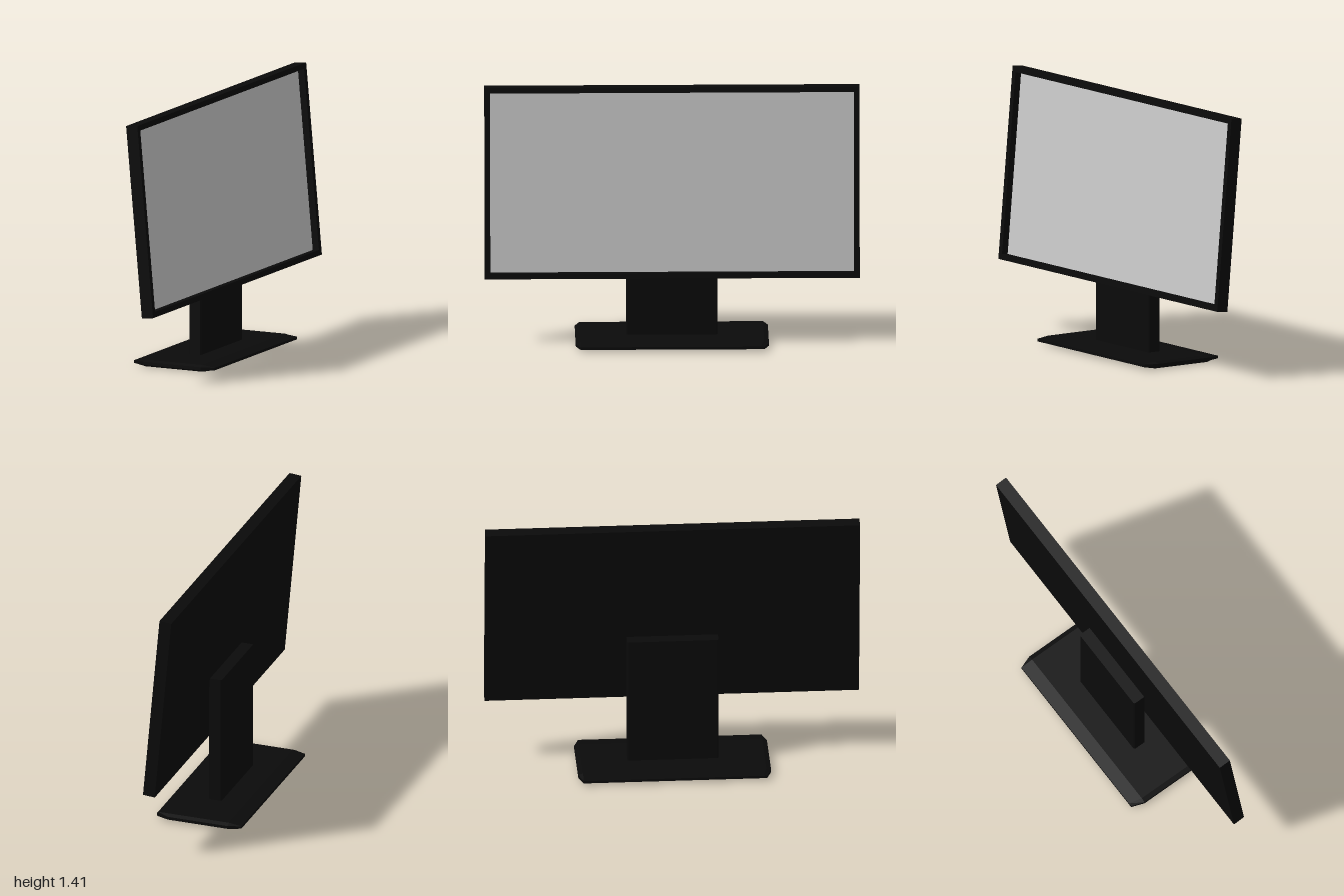
import * as THREE from 'three';

const black = new THREE.MeshStandardMaterial({ color: 0x0a0a0a, flatShading: true });
const grey = new THREE.MeshStandardMaterial({ color: 0xcccccc });

function add(parent, name, geometry, material) {
  const mesh = new THREE.Mesh(geometry, material);
  mesh.name = name;
  parent.add(mesh);
  return mesh;
}

function rectangle(target, w, h) {
  target.moveTo(-w / 2, -h / 2);
  target.lineTo(w / 2, -h / 2);
  target.lineTo(w / 2, h / 2);
  target.lineTo(-w / 2, h / 2);
  target.closePath();
  return target;
}

// Foot: eight-sided sections lofted along x, thinner and narrower at both ends
function footGeometry() {
  const middle = { flat: 0.49, wide: 0.515, y: [0, 0.012, 0.028, 0.037] };
  const end = { flat: 0.47, wide: 0.49, y: [0.013, 0.013, 0.027, 0.027] };
  const stations = [[-0.24, end], [-0.17, middle], [0.17, middle], [0.24, end]];
  const positions = [], index = [], n = 8;
  for (const [x, { flat, wide, y }] of stations) {
    const half = [[flat, y[0]], [wide, y[1]], [wide, y[2]], [flat, y[3]]];
    for (const [z, h] of half) positions.push(x, h, z);
    for (const [z, h] of half.reverse()) positions.push(x, h, -z);
  }
  for (let s = 0; s < stations.length - 1; s++) {
    for (let i = 0; i < n; i++) {
      const a = s * n + i, b = s * n + (i + 1) % n;
      index.push(a, a + n, b, b, a + n, b + n);
    }
  }
  const last = (stations.length - 1) * n;
  for (let i = 1; i < n - 1; i++) {
    index.push(0, i, i + 1);
    index.push(last, last + i + 1, last + i);
  }
  const geometry = new THREE.BufferGeometry();
  geometry.setAttribute('position', new THREE.Float32BufferAttribute(positions, 3));
  geometry.setIndex(index);
  const flatGeometry = geometry.toNonIndexed();
  flatGeometry.computeVertexNormals();
  return flatGeometry;
}

// Upright: slab with slightly chamfered vertical edges
function uprightGeometry() {
  const w = 0.037, d = 0.244, c = 0.006;
  const outline = new THREE.Shape([
    [w, -d + c], [w, d - c], [w - c, d], [-w + c, d],
    [-w, d - c], [-w, -d + c], [-w + c, -d], [w - c, -d],
  ].map(([x, y]) => new THREE.Vector2(x, y)));
  const geometry = new THREE.ExtrudeGeometry(outline, { depth: 0.715, bevelEnabled: false });
  return geometry.rotateX(-Math.PI / 2).translate(0, 0.03, 0);
}

export function createModel() {
  const model = new THREE.Group();
  model.name = 'monitor';

  add(model, 'foot', footGeometry(), black);
  add(model, 'upright', uprightGeometry(), black);

  // Display faces +x and leans back
  const display = new THREE.Group();
  display.name = 'display';
  display.position.set(0.05, 0.89, 0);
  display.rotation.set(-0.0905, Math.PI / 2, 0, 'YXZ');
  model.add(display);

  const width = 2, height = 1.04, depth = 0.067, bezel = 0.03, recess = 0.037;
  const innerW = width - 2 * bezel, innerH = height - 2 * bezel;

  const outline = rectangle(new THREE.Shape(), width, height);
  outline.holes.push(rectangle(new THREE.Path(), innerW, innerH));
  const frame = new THREE.ExtrudeGeometry(outline, { depth, bevelEnabled: false });
  add(display, 'bezel', frame.translate(0, 0, -depth / 2), black);

  const backDepth = depth - recess - 0.002;
  add(display, 'backPanel', new THREE.BoxGeometry(innerW, innerH, backDepth), black)
    .position.z = -depth / 2 + backDepth / 2;

  // Screen set back inside the bezel
  add(display, 'screen', new THREE.PlaneGeometry(innerW, innerH), grey)
    .position.z = depth / 2 - recess;

  return model;
}
